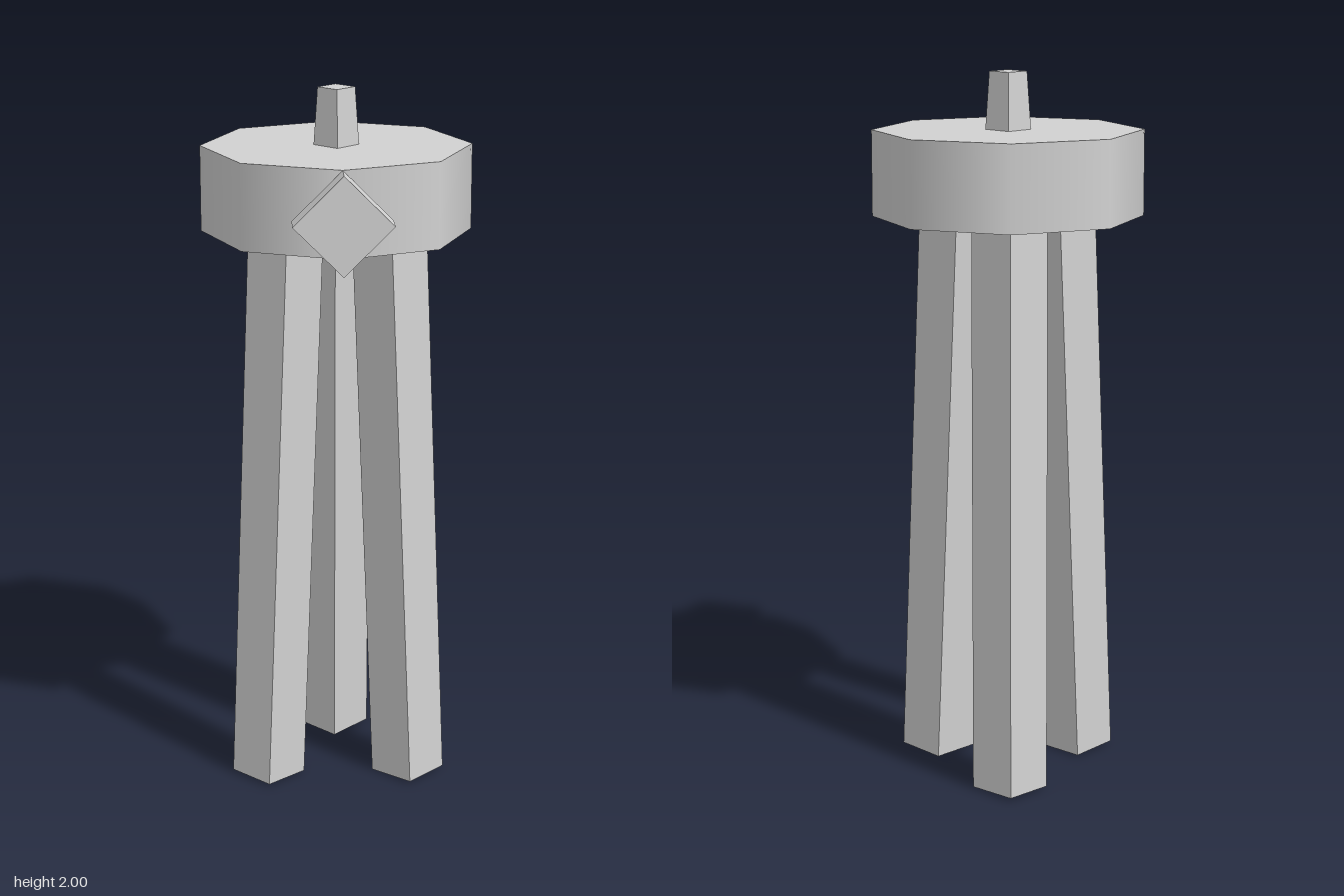
import * as THREE from 'three';

export function createModel() {
  const group = new THREE.Group();
  const grey = new THREE.MeshStandardMaterial({ color: 0xd2d2d2 });
  grey.name = 'light grey';
  const axisZ = -0.04; // the body's vertical axis

  const add = (name, geometry, x, y, z) => {
    const mesh = new THREE.Mesh(geometry, grey);
    mesh.name = name;
    mesh.position.set(x, y, z);
    group.add(mesh);
    return mesh;
  };

  // Four-sided prism with hard edges and corners on the axes
  const prism = (top, bottom, height) => {
    const g = new THREE.CylinderGeometry(top, bottom, height, 4).toNonIndexed();
    g.computeVertexNormals();
    return g;
  };

  // Octagonal body with smooth sides
  add('body', new THREE.CylinderGeometry(0.378, 0.378, 0.24, 8), 0, 1.72, axisZ);

  // Tapered stub on the top
  add('topStub', prism(0.052, 0.063, 0.16), 0, 1.92, axisZ);

  // Diamond plate on the front
  add('frontPlate', prism(0.135, 0.135, 0.08), 0, 1.705, 0.378).rotation.x = Math.PI / 2;

  // Three splayed legs, one at the back and two at the front
  const up = new THREE.Vector3(0, 1, 0);
  ['backLeg', 'leftLeg', 'rightLeg'].forEach((name, i) => {
    const angle = Math.PI + i * Math.PI * 2 / 3 * -1;
    const at = (r, y) => new THREE.Vector3(Math.sin(angle) * r, y, axisZ + Math.cos(angle) * r);
    const foot = at(0.236, 0.005);
    const head = at(0.162, 1.7);
    const middle = foot.clone().add(head).multiplyScalar(0.5);
    const leg = add(name, prism(0.104, 0.104, foot.distanceTo(head)), middle.x, middle.y, middle.z);
    leg.quaternion.setFromUnitVectors(up, head.sub(foot).normalize());
  });

  return group;
}
